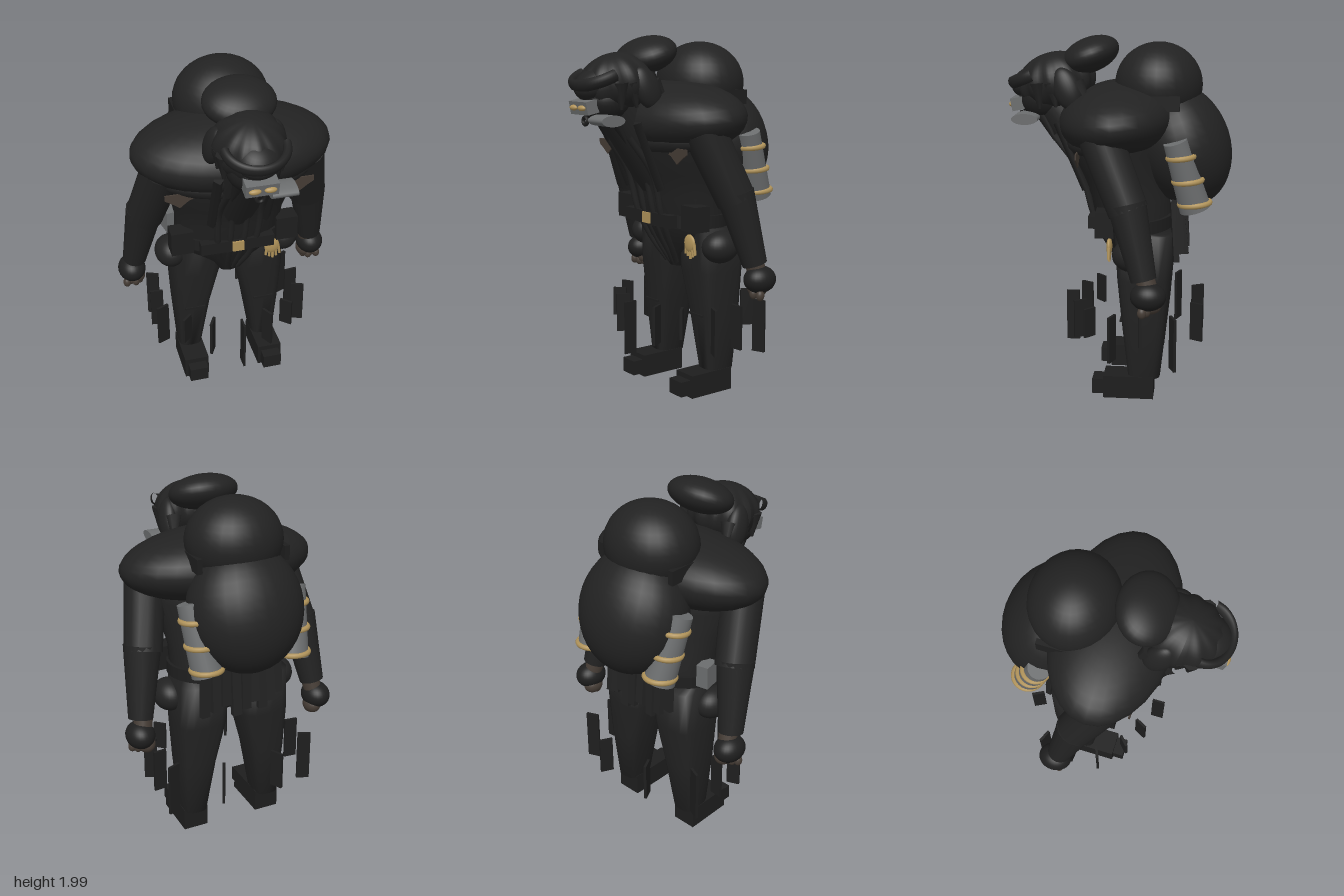
import * as THREE from 'three';

const mat = (name, color) => {
  const m = new THREE.MeshStandardMaterial({ color });
  m.name = name;
  return m;
};

export function createModel() {
  const root = new THREE.Group();
  const cloth = mat('dark cloth', 0x222222);
  const strap = mat('black leather', 0x1e1e1e);
  const grey = mat('dull metal', 0x6b6d6e);
  const gold = mat('old brass', 0xb0935a);
  const brown = mat('worn brown', 0x453c35);
  const V = (x, y, z) => new THREE.Vector3(x, y, z);

  const add = (name, geo, m, pos = [0, 0, 0], rot = [0, 0, 0], scale = [1, 1, 1]) => {
    const mesh = new THREE.Mesh(geo, m);
    mesh.name = name;
    mesh.position.set(...pos);
    mesh.rotation.set(...rot);
    mesh.scale.set(...scale);
    root.add(mesh);
    return mesh;
  };
  const box = (name, m, size, pos, rot) => add(name, new THREE.BoxGeometry(...size), m, pos, rot);
  const ball = (name, m, radii, pos, rot) =>
    add(name, new THREE.SphereGeometry(1, 28, 20), m, pos, rot, radii);
  // Tapered limb between two points
  const limb = (name, m, a, b, ra, rb, sides = 16) => {
    const p = V(...a), q = V(...b), d = q.clone().sub(p);
    const mesh = add(name, new THREE.CylinderGeometry(rb, ra, d.length(), sides), m);
    mesh.position.copy(p).add(q).multiplyScalar(0.5);
    mesh.quaternion.setFromUnitVectors(V(0, 1, 0), d.normalize());
    return mesh;
  };
  // Body lofted from elliptical rows [y, centre x, centre z, radius x, radius z], bottom to top
  const loft = (name, m, rows, sides = 28, power = 1) => {
    const pos = [], idx = [];
    const bend = v => Math.sign(v) * Math.abs(v) ** power;
    for (const [y, cx, cz, rx, rz] of rows)
      for (let i = 0; i < sides; i++) {
        const a = (i / sides) * Math.PI * 2;
        pos.push(cx + rx * bend(Math.sin(a)), y, cz + rz * bend(Math.cos(a)));
      }
    for (let r = 0; r < rows.length - 1; r++)
      for (let i = 0; i < sides; i++) {
        const a = r * sides + i, b = r * sides + ((i + 1) % sides);
        idx.push(a, b, b + sides, a, b + sides, a + sides);
      }
    const last = (rows.length - 1) * sides;
    for (let i = 1; i < sides - 1; i++) idx.push(0, i + 1, i, last, last + i, last + i + 1);
    const g = new THREE.BufferGeometry();
    g.setAttribute('position', new THREE.Float32BufferAttribute(pos, 3));
    g.setIndex(idx);
    g.computeVertexNormals();
    return add(name, g, m);
  };

  // Stooped coat body
  loft('coat', cloth, [
    [0.70, 0, -0.08, 0.06, 0.06], [0.78, 0, -0.12, 0.15, 0.14], [0.88, 0, -0.11, 0.28, 0.19],
    [1.0, 0, -0.08, 0.31, 0.22], [1.12, 0, -0.06, 0.31, 0.22], [1.25, 0, -0.02, 0.34, 0.23],
    [1.38, 0, 0.02, 0.38, 0.25], [1.52, 0, 0.04, 0.4, 0.26], [1.6, 0, 0.04, 0.34, 0.22]]);
  limb('neck', cloth, [0, 1.22, 0.04], [0, 1.62, 0.36], 0.15, 0.12, 24);
  // Folded coat front
  for (const x of [-0.085, -0.03, 0.03, 0.085]) {
    const fold = new THREE.CatmullRomCurve3([
      V(x * 1.3, 1.46, 0.35), V(x * 1.4, 1.25, 0.2), V(x * 1.3, 1.02, 0.135), V(x, 0.86, 0.06), V(x * 0.5, 0.73, -0.02)]);
    add('coatFold', new THREE.TubeGeometry(fold, 24, 0.018, 8), cloth);
  }

  // Shoulder mantle with a rolled front edge
  ball('mantle', cloth, [0.55, 0.2, 0.33], [0, 1.552, 0], [0.1, 0, 0]);
  add('mantleRoll', new THREE.TorusGeometry(0.33, 0.055, 12, 40, Math.PI), cloth,
    [0, 1.455, 0.0], [Math.PI / 2 + 0.1, 0, 0], [1.22, 0.76, 1]);

  // Backpack with bedroll, resting on the upper back
  ball('backpack', cloth, [0.32, 0.345, 0.26], [0, 1.4, -0.354], [0.33, 0, 0]);
  ball('bedroll', cloth, [0.265, 0.23, 0.24], [0, 1.733, -0.215]);

  // Pleated hood, brim, topknot and shaded face
  const hood = new THREE.SphereGeometry(1, 72, 24);
  const p = hood.attributes.position;
  for (let i = 0; i < p.count; i++) {
    const flat = Math.hypot(p.getX(i), p.getZ(i));
    const k = 1 + 0.035 * flat * Math.cos(12 * Math.atan2(p.getX(i), p.getZ(i)));
    p.setXYZ(i, p.getX(i) * k, p.getY(i), p.getZ(i) * k);
  }
  hood.computeVertexNormals();
  add('hood', hood, cloth, [0, 1.745, 0.35], [0.22, 0, 0], [0.187, 0.16, 0.215]);
  ball('topknot', cloth, [0.195, 0.095, 0.163], [0, 1.89, 0.16], [0.36, 0, 0]);
  ball('face', strap, [0.14, 0.12, 0.14], [0, 1.65, 0.42]);
  ball('forehead', cloth, [0.12, 0.085, 0.13], [0, 1.745, 0.475], [0.4, 0, 0]);
  add('hoodBrim', new THREE.TorusGeometry(0.16, 0.024, 10, 32, Math.PI), cloth,
    [0, 1.79, 0.462], [Math.PI / 2 + 0.4, 0, 0], [0.98, 0.9, 1.4]);
  for (const s of [-1, 1]) {
    ball('hoodLobe', cloth, [0.05, 0.12, 0.075], [s * 0.165, 1.72, 0.27], [0.4, 0, s * 0.15]);
    for (let i = 0; i < 4; i++)
      limb('hairLock', cloth, [s * 0.15, 1.75, 0.43 - i * 0.07],
        [s * (0.15 + i * 0.01), 1.61 + i * 0.01, 0.42 - i * 0.09], 0.045, 0.008, 8);
  }
  // Metal mask
  box('mask', grey, [0.17, 0.07, 0.07], [0, 1.625, 0.557], [0.2, 0, 0]);
  for (const s of [-1, 1]) ball('eye', gold, [0.032, 0.015, 0.016], [s * 0.04, 1.62, 0.595]);
  add('mouthRing', new THREE.TorusGeometry(0.02, 0.01, 8, 18), strap, [0, 1.55, 0.55]);
  add('filter', new THREE.CylinderGeometry(1, 1, 0.135, 20), grey,
    [0.128, 1.557, 0.5], [0, 0, Math.PI / 2], [0.03, 1, 0.072]);
  for (let i = 0; i < 5; i++)
    limb('beardLock', strap, [(i - 2) * 0.035, 1.57, 0.42], [(i - 2) * 0.045, 1.43, 0.35], 0.035, 0.008, 8);

  // Belt, buckle and brass hand charm
  add('belt', new THREE.CylinderGeometry(1, 1, 0.07, 32), strap, [0, 0.99, -0.08], [0, 0, 0], [0.325, 1, 0.235]);
  box('beltFront', strap, [0.42, 0.07, 0.05], [0, 0.995, 0.13]);
  box('buckle', gold, [0.065, 0.06, 0.012], [0, 0.995, 0.16]);
  ball('charmPalm', gold, [0.045, 0.05, 0.016], [0.235, 0.87, 0.035]);
  for (let i = 0; i < 5; i++)
    limb('charmFinger', gold, [0.208 + i * 0.016, 0.87, 0.035],
      [0.2 + i * 0.021, 0.785 + Math.abs(i - 2) * 0.012, 0.035], 0.01, 0.008, 8);

  // Small metal case on the right hip
  box('hipCase', grey, [0.07, 0.13, 0.1], [-0.325, 1.045, -0.14], [0, 0.2, 0]);

  for (const s of [-1, 1]) {
    // Legs and boots
    loft('leg', cloth, [[0.12, s * 0.23, -0.16, 0.07, 0.09], [0.45, s * 0.215, -0.158, 0.11, 0.127],
      [0.7, s * 0.19, -0.155, 0.148, 0.15], [0.95, s * 0.18, -0.15, 0.15, 0.16]], 16, 0.6);
    box('kneeBand', strap, [0.12, 0.012, 0.02], [s * 0.21, 0.45, -0.035]);
    box('boot', strap, [0.145, 0.13, 0.28], [s * 0.23, 0.066, -0.075]);
    box('bootToe', strap, [0.11, 0.085, 0.08], [s * 0.23, 0.06, 0.09]);

    // Arms
    limb('upperArm', cloth, [s * 0.39, 1.5, 0.065], [s * 0.475, 1.13, -0.09], 0.115, 0.107);
    limb('forearm', cloth, [s * 0.475, 1.17, -0.08], [s * 0.535, 0.78, -0.175], 0.104, 0.068);
    limb('wrist', brown, [s * 0.515, 0.82, -0.17], [s * 0.535, 0.72, -0.2], 0.052, 0.052);
    ball('glove', strap, [0.08, 0.075, 0.095], [s * 0.55, 0.695, -0.2]);
    ball('palm', brown, [0.05, 0.05, 0.06], [s * 0.522, 0.64, -0.21]);
    for (let i = 0; i < 4; i++)
      ball('fingertip', brown, [0.022, 0.03, 0.024], [s * (0.51 + i * 0.026), 0.615, -0.19 + (i % 2) * 0.02]);

    // Chest straps, torn coat patches and backpack straps
    limb('chestStrap', strap, [s * 0.15, 1.17, 0.165], [s * 0.15, 1.54, 0.32], 0.03, 0.03, 4);
    const tear = new THREE.Shape();
    [[0.22, 1.41], [0.23, 1.38], [0.28, 1.365], [0.33, 1.325], [0.37, 1.355], [0.41, 1.38], [0.41, 1.41]]
      .forEach(([x, y], i) => (i ? tear.lineTo(s * x, y) : tear.moveTo(s * x, y)));
    add('tornPatch', new THREE.ExtrudeGeometry(tear, { depth: 0.008, bevelEnabled: false }), brown, [0, 0, 0.19]);
    box('bedrollStrap', strap, [0.03, 0.08, 0.24], [s * 0.25, 1.66, -0.22]);

    // Belt pouches and hip bags
    box('pouch', strap, [0.125, 0.14, 0.1], [s * 0.302, 1.02, 0.05]);
    ball('hipBag', cloth, [0.09, 0.09, 0.11], [s * 0.335, 0.85, -0.1]);

    // Metal canisters ringed with level brass bands
    const low = V(s * 0.252, 1.1, -0.43), high = V(s * 0.305, 1.47, -0.32);
    limb('canister', grey, low.toArray(), high.toArray(), 0.086, 0.064, 24);
    for (const t of [0.08, 0.42, 0.77]) {
      const band = add('canisterBand', new THREE.TorusGeometry(0.083 - t * 0.018, 0.015, 8, 28), gold,
        [0, 0, 0], [Math.PI / 2 + 0.1, 0, 0]);
      band.position.copy(low).lerp(high, t).add(V(0, 0, -0.006));
    }

    // Hanging hem plates fanned around the legs: x, z, turn, length
    for (const [x, z, turn, len] of [[0.165, 0.208, -1.08, 0.22], [0.3, 0.14, -0.75, 0.165],
      [0.415, 0.005, -0.4, 0.26], [0.42, -0.15, 0.1, 0.25], [0.41, -0.325, 0.4, 0.3], [0.165, -0.448, 1.1, 0.22]])
      box('hemPlate', strap, [0.075, len, 0.015], [s * x, 0.53 - len / 2, z], [0, s * turn, 0]);
  }
  box('hemPlate', strap, [0.012, 0.3, 0.075], [0, 0.38, 0.272]);

  // Ragged tails below the backpack
  for (let i = 0; i < 9; i++) {
    const x = (i - 4) * 0.054, len = 0.27 + (i % 3) * 0.03;
    box('coatTail', cloth, [0.052, len, 0.03],
      [x, 1.12 - len / 2, -0.375 + Math.abs(x) * 0.25], [0.06 + (i % 2) * 0.06, x * 0.8, x * 0.2]);
  }
  return root;
}
